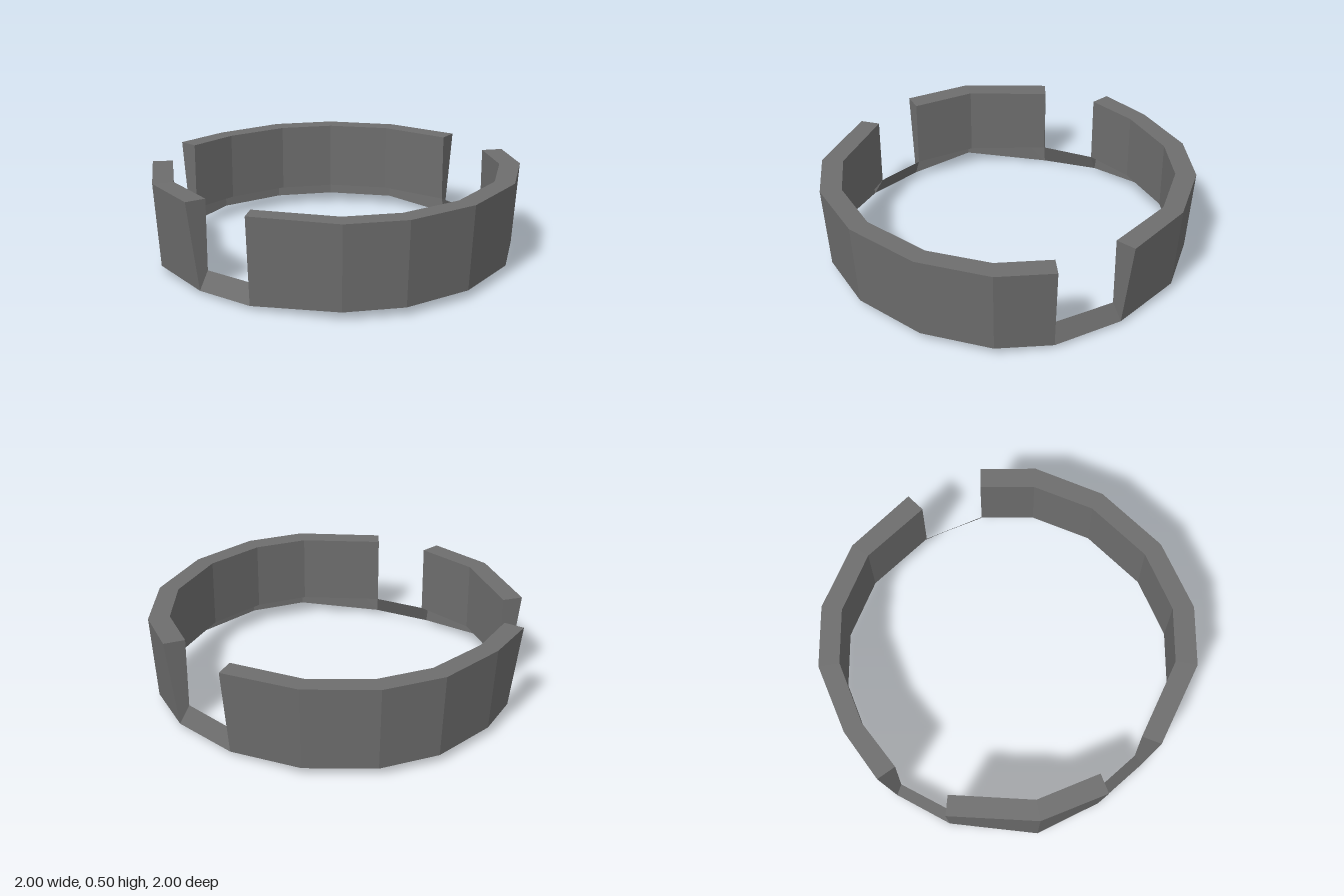
import * as THREE from 'three';

const TOP = 0.5, RIM = 0.12, BASE = 0.045;

// One station of the wall: outer top x/z, inner x/z, and optional outer foot x/y/z.
// Cross-section order: outer top, outer foot, inner rim, inner top.
function station([ox, oz, ix, iz, foot, top = TOP]) {
  const [fx, fy, fz] = foot ?? [ox * 0.97, BASE, oz * 0.97];
  return [[ox, top, oz], [fx, fy, fz], [ix, RIM, iz], [ix, top, iz]]
    .map((p) => new THREE.Vector3(...p));
}

// Three wall sections, listed clockwise from above
const sections = {
  backWall: [
    [-0.78, -0.67, -0.715, -0.58, [-0.75, 0.02, -0.61]],
    [-0.53, -0.85, -0.48, -0.76],
    [-0.17, -1.0, -0.15, -0.89],
    [0.17, -1.0, 0.15, -0.89],
    [0.53, -0.85, 0.47, -0.76],
    [0.83, -0.55, 0.75, -0.47, [0.78, 0.02, -0.51]],
  ],
  frontWall: [
    [1.0, -0.15, 0.885, -0.15, [0.94, 0.02, -0.15]],
    [1.0, 0.16, 0.885, 0.15],
    [0.84, 0.53, 0.75, 0.47],
    [0.53, 0.84, 0.47, 0.75],
    [0.16, 1.0, 0.15, 0.885],
    [-0.17, 1.0, -0.15, 0.885],
    [-0.6, 0.79, -0.56, 0.69, [-0.58, 0.02, 0.74]],
  ],
  rightWall: [
    [-0.86, 0.51, -0.755, 0.47, [-0.8, 0.02, 0.49]],
    [-1.0, 0.16, -0.89, 0.14],
    [-0.97, -0.32, -0.86, -0.31, [-0.905, 0.0, -0.32], 0.49],
  ],
};

// Each quad gets one normal, so slightly twisted panels still shade evenly
function quadsGeometry(quads) {
  const points = [], normals = [];
  for (const [a, b, c, d] of quads) {
    const normal = c.clone().sub(a).cross(d.clone().sub(b)).normalize();
    points.push(a, b, c, a, c, d);
    for (let i = 0; i < 6; i++) normals.push(...normal);
  }
  const geometry = new THREE.BufferGeometry().setFromPoints(points);
  geometry.setAttribute('normal', new THREE.Float32BufferAttribute(normals, 3));
  return geometry;
}

// Hollow wall: outer, inner and top panels with end caps, open underneath
function wallGeometry(rings) {
  const quads = [rings[0], [...rings.at(-1)].reverse()];
  for (let i = 0; i < rings.length - 1; i++) {
    for (const [k, n] of [[0, 1], [2, 3], [3, 0]]) {
      quads.push([rings[i][k], rings[i + 1][k], rings[i + 1][n], rings[i][n]]);
    }
  }
  return quadsGeometry(quads);
}

export function createModel() {
  const group = new THREE.Group();
  group.name = 'splitRing';
  const material = new THREE.MeshStandardMaterial({ color: 0x6d6d6d, side: THREE.DoubleSide });
  const add = (name, geometry) => {
    const mesh = new THREE.Mesh(geometry, material);
    mesh.name = name;
    group.add(mesh);
  };

  const walls = Object.entries(sections).map(([name, list]) => {
    const rings = list.map(station);
    add(name, wallGeometry(rings));
    return rings;
  });

  // Thin sloped sills bridging the gaps between the walls
  const sillNames = ['backLeftSill', 'frontRightSill', 'backRightSill'];
  walls.forEach((rings, i) => {
    const a = rings.at(-1), b = walls[(i + 1) % walls.length][0];
    add(sillNames[i], quadsGeometry([[a[2], b[2], b[1], a[1]]]));
  });
  return group;
}
